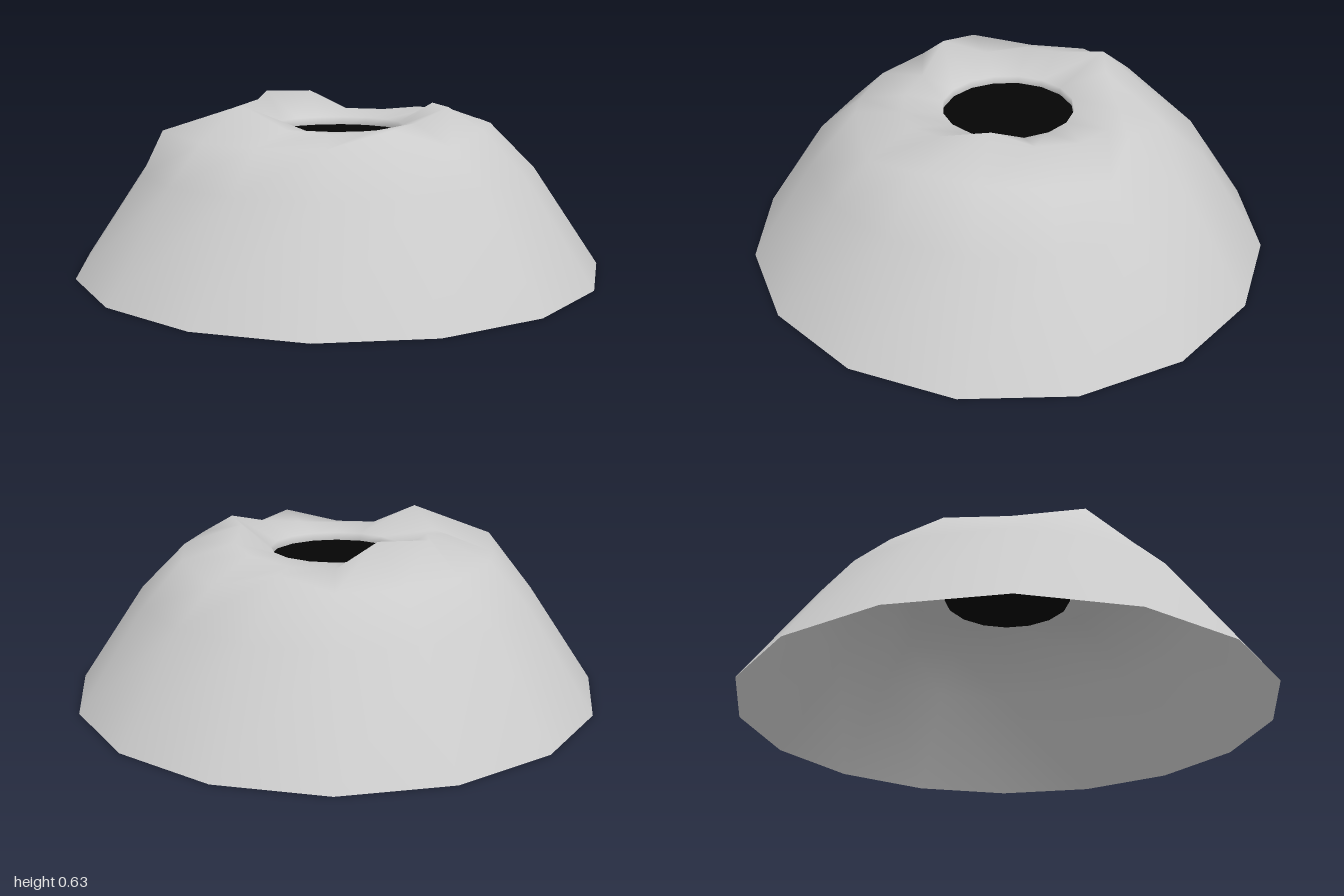
import * as THREE from 'three';

const SIDES = 16;

// Uneven rings, one [radius, height] per side, from +x round through +z
const CREST = [
  [.36, .615], [.45, .615], [.42, .57], [.40, .55], [.40, .54], [.40, .55], [.45, .63], [.42, .56],
  [.42, .58], [.36, .61], [.46, .63], [.38, .63], [.42, .55], [.42, .55], [.43, .57], [.40, .58],
];
const SHOULDER = [
  [.58, .54], [.58, .54], [.60, .50], [.57, .57], [.58, .51], [.60, .51], [.62, .51], [.67, .53],
  [.60, .51], [.60, .53], [.60, .52], [.58, .51], [.58, .51], [.50, .54], [.60, .49], [.60, .53],
];

// An even ring with the same radius and height on every side
const evenRing = (radius, height) => Array.from({ length: SIDES }, () => [radius, height]);

// Skin of quads over a list of rings, ordered from outside to inside
function ringSkin(rings) {
  const positions = [];
  const indices = [];
  rings.forEach((ring) => ring.forEach(([radius, height], k) => {
    const angle = (k / SIDES) * Math.PI * 2;
    positions.push(radius * Math.cos(angle), height, radius * Math.sin(angle));
  }));
  for (let j = 0; j < rings.length - 1; j++) {
    for (let k = 0; k < SIDES; k++) {
      const next = (k + 1) % SIDES;
      const a = j * SIDES + k;
      const b = j * SIDES + next;
      const c = a + SIDES;
      const d = b + SIDES;
      indices.push(a, c, b, b, c, d);
    }
  }
  const geometry = new THREE.BufferGeometry();
  geometry.setAttribute('position', new THREE.Float32BufferAttribute(positions, 3));
  geometry.setIndex(indices);
  geometry.computeVertexNormals();
  return geometry;
}

export function createModel() {
  const model = new THREE.Group();
  model.name = 'craterMound';

  // Open-bottomed rock shell: foot, flank, shoulder, crest, crater lip, short throat
  const rock = new THREE.MeshStandardMaterial({ color: 0xcccccc, side: THREE.DoubleSide });
  const mound = new THREE.Mesh(ringSkin([
    evenRing(1, 0),
    evenRing(.75, .37),
    SHOULDER,
    CREST,
    evenRing(.25, .53),
    evenRing(.25, .5),
  ]), rock);
  mound.name = 'rockMound';
  model.add(mound);

  // Dark floor closing the crater
  const dark = new THREE.MeshStandardMaterial({ color: 0x050505, side: THREE.DoubleSide });
  const floor = new THREE.Mesh(new THREE.CircleGeometry(.25, SIDES), dark);
  floor.name = 'craterFloor';
  floor.rotation.x = -Math.PI / 2;
  floor.position.y = .5;
  model.add(floor);

  return model;
}
